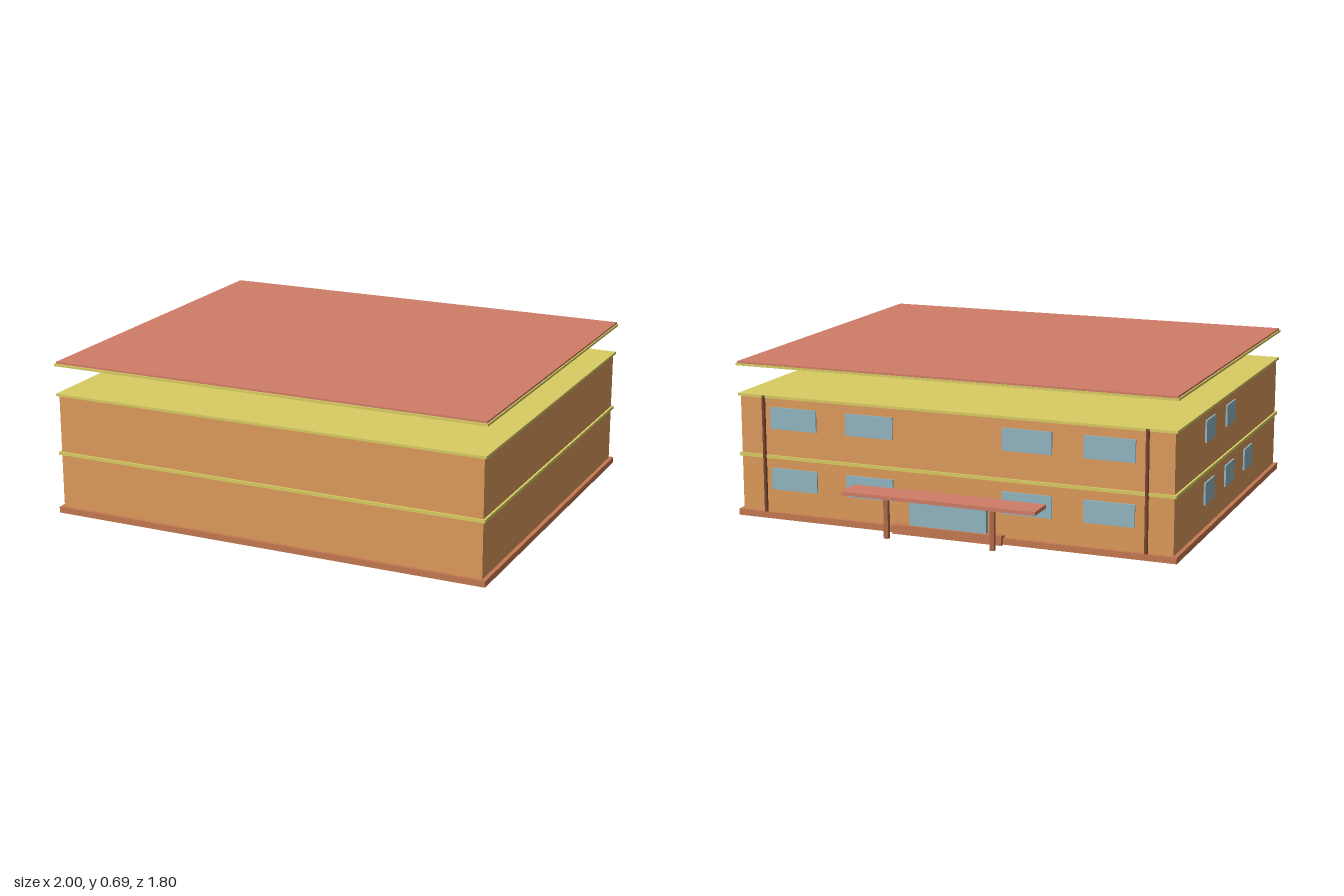
import * as THREE from 'three';

const mat = (color) => new THREE.MeshStandardMaterial({ color });
const BRICK = mat(0xc47850);
const WALL = mat(0xdc9a5a);
const TRIM = mat(0xd8cc62);
const ROOF = mat(0xd07c66);
const GLASS = mat(0x92b6c2);
const POST = mat(0xb06a48);
const PIPE = mat(0x7a4630);

// Box given by its lower and upper limits on each axis
function block(parent, name, material, [x0, x1], [y0, y1], [z0, z1]) {
  const mesh = new THREE.Mesh(new THREE.BoxGeometry(x1 - x0, y1 - y0, z1 - z0), material);
  mesh.position.set((x0 + x1) / 2, (y0 + y1) / 2, (z0 + z1) / 2);
  mesh.name = name;
  parent.add(mesh);
  return mesh;
}

const around = (c, size) => [c - size / 2, c + size / 2];

export function createModel() {
  const model = new THREE.Group();
  model.name = 'building';

  // Plinth, walls and floor slabs
  block(model, 'plinth', BRICK, [-1, 1], [0, 0.027], [-0.78, 0.9]);
  block(model, 'lowerStorey', WALL, [-0.982, 0.982], [0.027, 0.268], [-0.765, 0.886]);
  block(model, 'middleSlab', TRIM, [-0.992, 0.992], [0.268, 0.282], [-0.774, 0.895]);
  block(model, 'upperStorey', WALL, [-0.982, 0.982], [0.282, 0.535], [-0.765, 0.886]);
  block(model, 'topSlab', TRIM, [-0.992, 0.992], [0.535, 0.546], [-0.774, 0.895]);

  // Roof floating above the top slab
  block(model, 'roofSlab', TRIM, [-0.996, 0.996], [0.669, 0.679], [-0.778, 0.896]);
  block(model, 'roofCover', ROOF, [-0.99, 0.99], [0.679, 0.687], [-0.776, 0.888]);

  // Windows on the back and on the right side
  const windows = new THREE.Group();
  windows.name = 'windows';
  model.add(windows);
  const rows = [[0.13, 0.226], [0.4, 0.496]];
  rows.forEach((row, level) => {
    for (const x of [0.727, 0.367, -0.35, -0.708])
      block(windows, 'backWindow', GLASS, around(x, 0.22), row, [-0.772, -0.755]);
    const sides = level === 0 ? [-0.268, 0.055, 0.375] : [-0.268, 0.055];
    for (const z of sides)
      block(windows, 'sideWindow', GLASS, [-0.99, -0.97], row, around(z, 0.14));
  });

  // Entrance with step, glass door and canopy on two posts
  const entrance = new THREE.Group();
  entrance.name = 'entrance';
  model.add(entrance);
  block(entrance, 'step', BRICK, [-0.25, 0.25], [0, 0.04], [-0.802, -0.76]);
  block(entrance, 'door', GLASS, [-0.175, 0.175], [0.04, 0.163], [-0.787, -0.76]);
  block(entrance, 'canopy', ROOF, [-0.437, 0.437], [0.174, 0.19], [-0.9, -0.765]);
  for (const x of [-0.24, 0.24])
    block(entrance, 'canopyPost', POST, around(x, 0.02), [0, 0.174], [-0.882, -0.862]);

  // Rain pipes at both ends of the back wall
  for (const x of [-0.868, 0.868]) {
    const pipe = new THREE.Mesh(new THREE.CylinderGeometry(0.008, 0.008, 0.518, 12), PIPE);
    pipe.position.set(x, 0.286, -0.772);
    pipe.name = 'rainPipe';
    model.add(pipe);
  }

  return model;
}
